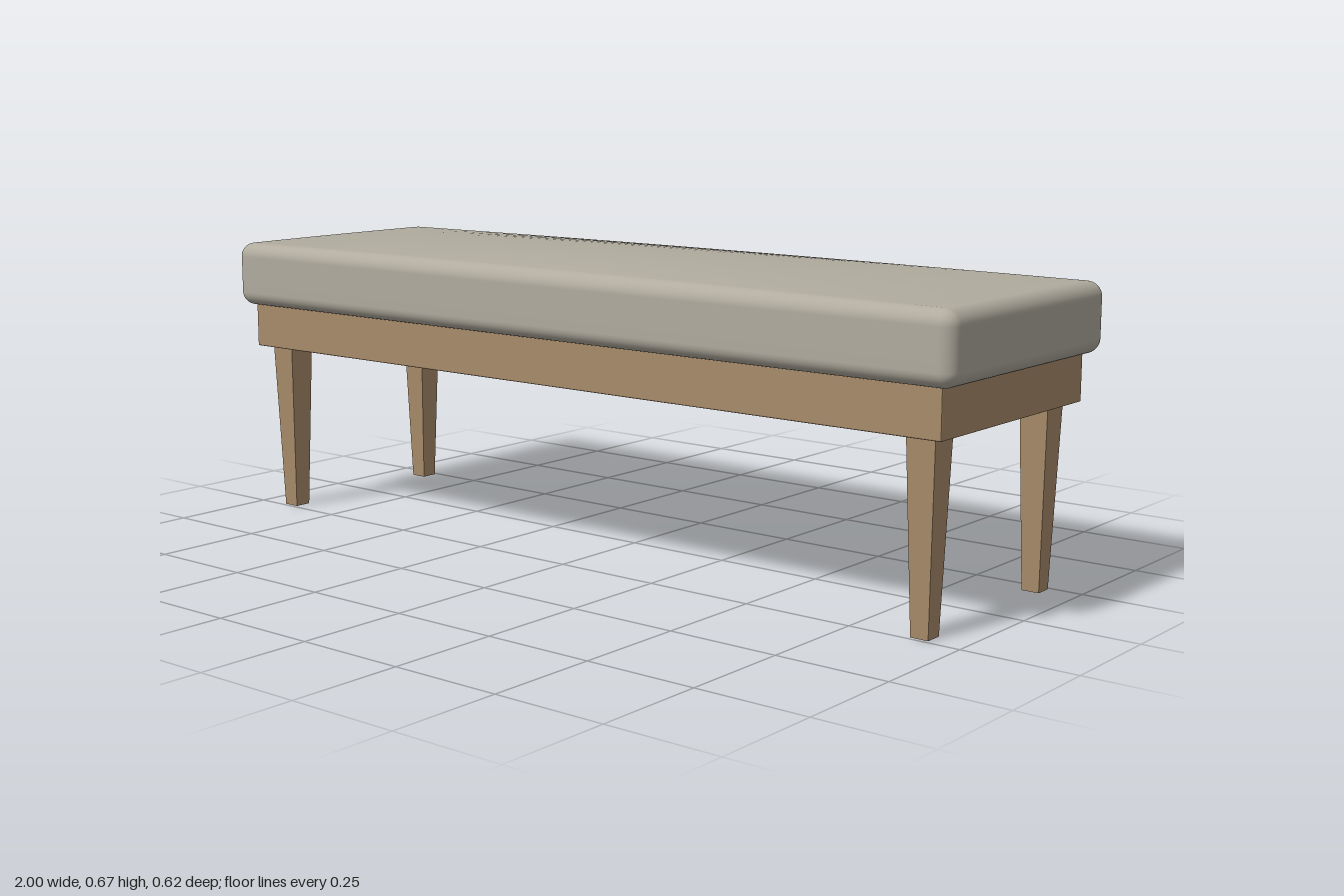
import * as THREE from 'three';
import { mergeVertices } from 'three/addons/utils/BufferGeometryUtils.js';
import { RoundedBoxGeometry } from 'three/addons/geometries/RoundedBoxGeometry.js';

// Rounded pad with a softly crowned top: a box grid whose outer rings form the rounded edges
function cushionGeometry(halfX, halfY, halfZ, radius, crown) {
  const edge = 5;
  const segments = [34, 14, 24];
  const half = [halfX, halfY, halfZ];
  const geometry = new THREE.BoxGeometry(2, 2, 2, ...segments);
  geometry.deleteAttribute('uv');
  geometry.deleteAttribute('normal');

  // Spreads grid steps so that the outermost few lie inside the edge radius
  const spread = (value, axis) => {
    const n = segments[axis];
    const inner = half[axis] - radius;
    const step = Math.abs(value) * n / 2;
    const innerSteps = n / 2 - edge;
    const d = step <= innerSteps
      ? inner * step / innerSteps
      : inner + radius * Math.tan((step - innerSteps) / edge * Math.PI / 4);
    return Math.sign(value) * d;
  };

  const position = geometry.attributes.position;
  const p = new THREE.Vector3();
  const core = new THREE.Vector3();
  const limit = new THREE.Vector3(halfX - radius, halfY - radius, halfZ - radius);
  const negLimit = limit.clone().negate();
  for (let i = 0; i < position.count; i++) {
    p.fromBufferAttribute(position, i);
    p.set(spread(p.x, 0), spread(p.y, 1), spread(p.z, 2));
    core.copy(p).clamp(negLimit, limit);
    p.sub(core).setLength(radius).add(core);
    if (p.y > 0) {
      const lift = (1 - (p.x / halfX) ** 2) * (1 - (p.z / halfZ) ** 2);
      p.y += crown * lift * p.y / halfY;
    }
    position.setXYZ(i, p.x, p.y, p.z);
  }
  const smooth = mergeVertices(geometry, 1e-5);
  smooth.computeVertexNormals();
  return smooth;
}

// Square leg tapering towards the floor
function legGeometry(topWidth, footWidth, height) {
  const geometry = new THREE.CylinderGeometry(
    topWidth / Math.SQRT2, footWidth / Math.SQRT2, height, 4);
  geometry.rotateY(Math.PI / 4);
  geometry.translate(0, height / 2, 0);
  return geometry;
}

export function createModel() {
  const bench = new THREE.Group();
  bench.name = 'bench';

  const wood = new THREE.MeshStandardMaterial({ color: 0xa78b6a });
  wood.name = 'wood';
  wood.flatShading = true;
  const fabric = new THREE.MeshStandardMaterial({ color: 0xb0ab9e });
  fabric.name = 'fabric';

  const add = (name, geometry, material, x, y, z) => {
    const mesh = new THREE.Mesh(geometry, material);
    mesh.name = name;
    mesh.position.set(x, y, z);
    bench.add(mesh);
  };

  // Upholstered seat
  add('cushion', cushionGeometry(1, 0.075, 0.31, 0.032, 0.021), fabric, 0, 0.577, 0);

  // Solid wooden base under the cushion
  add('base', new RoundedBoxGeometry(1.93, 0.104, 0.56, 1, 0.003), wood, 0, 0.452, 0);

  // Four tapered legs
  const leg = legGeometry(0.065, 0.04, 0.402);
  for (const [sideName, sx] of [['Left', 1], ['Right', -1]]) {
    for (const [endName, sz] of [['front', 1], ['back', -1]]) {
      add(`${endName}${sideName}Leg`, leg, wood, sx * 0.905, 0, sz * 0.221);
    }
  }
  return bench;
}
